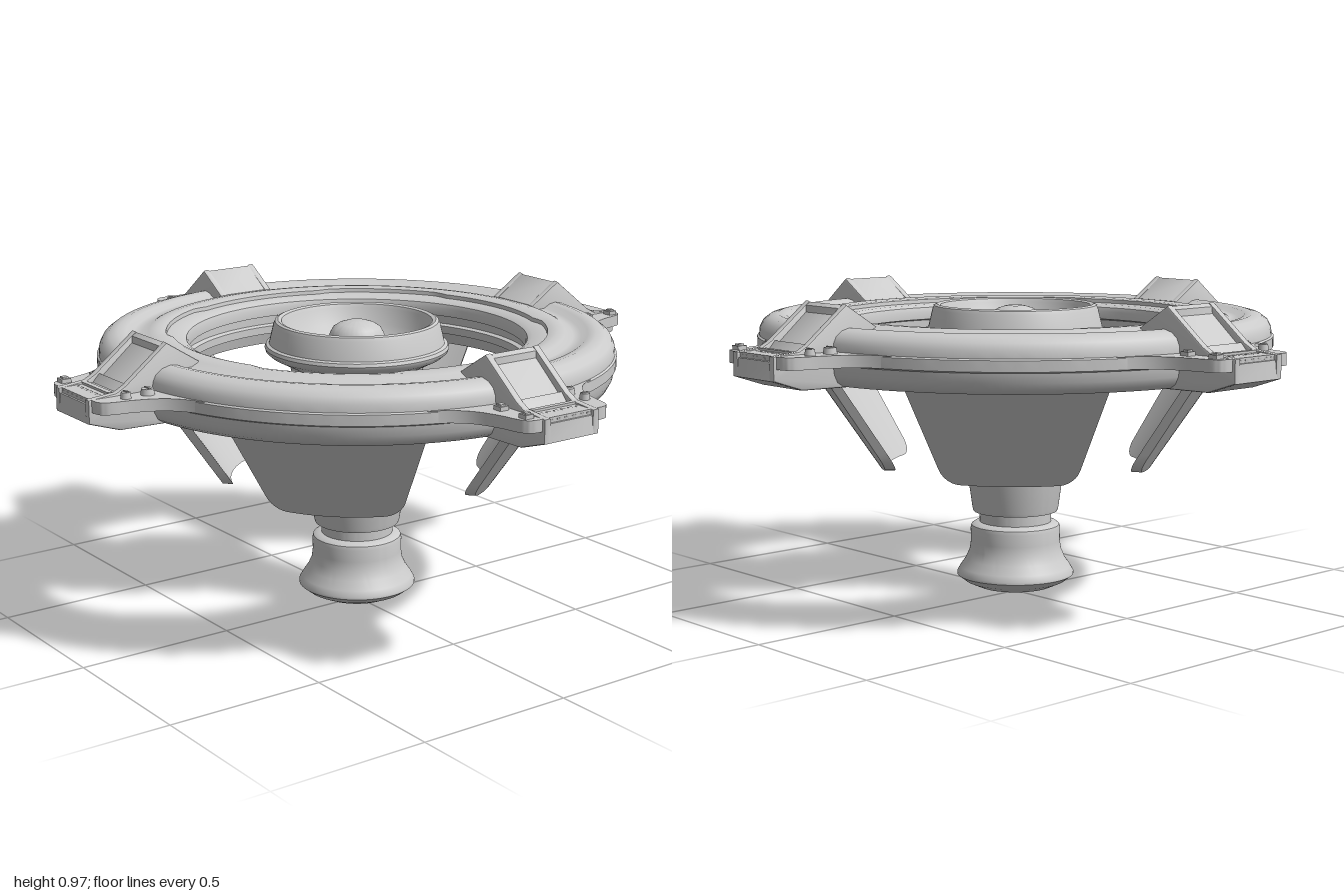
import * as THREE from 'three';
import { toCreasedNormals } from 'three/addons/utils/BufferGeometryUtils.js';

const material = new THREE.MeshStandardMaterial({ color: 0xcccccc });
const rad = THREE.MathUtils.degToRad;

function add(parent, name, geometry) {
  const mesh = new THREE.Mesh(geometry, material);
  mesh.name = name;
  parent.add(mesh);
  return mesh;
}

const lathe = (points, segments = 96) =>
  new THREE.LatheGeometry(points.map(([r, y]) => new THREE.Vector2(r, y)), segments);

// Side profile given as [z, y], extruded to a width along x
function slab(profile, x, width, bevel = 0.006) {
  const shape = new THREE.Shape(profile.map(([z, y]) => new THREE.Vector2(z, y)));
  const g = new THREE.ExtrudeGeometry(shape, {
    depth: width - 2 * bevel, bevelSize: bevel, bevelThickness: bevel, bevelOffset: -bevel, bevelSegments: 2,
  });
  return toCreasedNormals(g.translate(0, 0, -width / 2 + bevel).rotateY(-Math.PI / 2).translate(x, 0, 0), 0.4);
}

// Ring with a shallow inner step whose radius widens on the diagonals
function ringGeometry() {
  const g = lathe([
    [0.56, 0.735], [0.765, 0.735], [0.785, 0.748], [0.796, 0.77], [0.8, 0.798], [0.806, 0.802], [0.806, 0.834],
    [0.8, 0.838], [0.798, 0.86], [0.788, 0.88], [0.768, 0.895], [0.74, 0.902], [0.715, 0.898], [0.695, 0.887],
    [0.67, 0.886], [0.645, 0.898], [0.62, 0.902], [0.585, 0.9], [0.575, 0.897], [0.573, 0.885],
    [0.545, 0.882], [0.53, 0.874], [0.525, 0.86], [0.525, 0.835], [0.545, 0.83], [0.545, 0.805],
    [0.53, 0.8], [0.53, 0.775], [0.55, 0.77], [0.56, 0.735],
  ], 144);
  const p = g.attributes.position;
  for (let i = 0; i < p.count; i++) {
    const x = p.getX(i), z = p.getZ(i), r = Math.hypot(x, z);
    if (p.getY(i) < 0.88 || r < 0.57 || r > 0.59) continue;
    const diagonal = THREE.MathUtils.smoothstep(Math.abs(Math.sin(2 * Math.atan2(z, x))), 0.7, 0.82);
    const k = 1 + 0.03 * diagonal;
    p.setX(i, x * k);
    p.setZ(i, z * k);
  }
  return toCreasedNormals(g, 0.6);
}

// Curved panel: a box bent onto a cone, with rounded lower corners and bevelled sides
function finGeometry() {
  const g = new THREE.BoxGeometry(1, 1, 1, 24, 16, 1);
  const p = g.attributes.position, corner = 0.05;
  for (let i = 0; i < p.count; i++) {
    const v = (p.getY(i) + 0.5) ** 2;
    const outer = p.getZ(i) > 0;
    const r = THREE.MathUtils.lerp(0.43, 0.66, v) - (outer ? 0 : 0.03);
    const drop = Math.max(0, corner - v * 0.38);
    const trim = corner - Math.sqrt(corner * corner - drop * drop) + (outer ? 0.015 : 0);
    const a = p.getX(i) * 2 * (rad(29) - trim / r);
    p.setXYZ(i, r * Math.sin(a), 0.415 + v * 0.34, r * Math.cos(a));
  }
  g.computeVertexNormals();
  return g;
}

// Mounting plate flaring into the ring
function plateGeometry() {
  const s = new THREE.Shape();
  s.moveTo(-0.32, 0.7);
  s.lineTo(0.32, 0.7);
  s.lineTo(0.3, 0.745);
  s.bezierCurveTo(0.2, 0.79, 0.185, 0.84, 0.165, 0.91);
  s.bezierCurveTo(0.155, 0.97, 0.15, 0.99, 0.11, 0.99);
  s.lineTo(-0.11, 0.99);
  s.bezierCurveTo(-0.15, 0.99, -0.155, 0.97, -0.165, 0.91);
  s.bezierCurveTo(-0.185, 0.84, -0.2, 0.79, -0.3, 0.745);
  const g = new THREE.ExtrudeGeometry(s, { depth: 0.036, bevelEnabled: false, curveSegments: 10 });
  return toCreasedNormals(g.rotateX(Math.PI / 2).translate(0, 0.838, 0), 0.5);
}

// One clamp, built facing +z
function createClamp() {
  const clamp = new THREE.Group();
  clamp.name = 'clamp';
  add(clamp, 'mountingPlate', plateGeometry());

  // Wedge body with a sunken window
  const base = [[1, 0.768], [0.9, 0.735], [0.68, 0.73]];
  add(clamp, 'clampBody', slab([
    [0.64, 0.86], [0.64, 0.9], [0.74, 0.966], [0.755, 0.957], [0.757, 0.937], [0.858, 0.853],
    [0.868, 0.862], [0.89, 0.838], [0.995, 0.822], ...base], 0, 0.17, 0.002));
  for (const side of [-1, 1]) {
    add(clamp, 'clampCheek', slab([
      [0.635, 0.86], [0.635, 0.9], [0.743, 0.969], [0.88, 0.862], [0.91, 0.846], [1, 0.838], ...base],
    side * 0.088, 0.024));
  }

  // Grip teeth and the bar behind them
  for (let i = 0; i < 6; i++) {
    const tooth = add(clamp, 'gripTooth', new THREE.BoxGeometry(0.014, 0.016, 0.05));
    tooth.position.set((i - 2.5) * 0.027, 0.828, 0.965);
    tooth.rotation.x = 0.15;
  }
  const bar = add(clamp, 'gripBar', new THREE.BoxGeometry(0.155, 0.014, 0.016));
  bar.position.set(0, 0.838, 0.917);

  // Slotted screws on one side, square studs on the other
  for (const [z, r] of [[0.83, 0.021], [0.9, 0.016]]) {
    add(clamp, 'screw', new THREE.CylinderGeometry(r * 0.85, r, 0.02, 20)).position.set(0.135, 0.846, z);
    add(clamp, 'screwRidge', new THREE.BoxGeometry(r * 1.5, 0.004, 0.005)).position.set(0.135, 0.857, z);
  }
  for (const z of [0.85, 0.955]) {
    add(clamp, 'squareStud', new THREE.BoxGeometry(0.03, 0.014, 0.03)).position.set(-0.128, 0.843, z);
    add(clamp, 'squareStudCap', new THREE.BoxGeometry(0.018, 0.006, 0.018)).position.set(-0.128, 0.852, z);
  }
  return clamp;
}

export function createModel() {
  const model = new THREE.Group();
  model.name = 'ringedPost';

  add(model, 'ring', ringGeometry());

  // Central post: foot, neck, tapered shaft, cup and inner knob
  add(model, 'post', toCreasedNormals(lathe([
    [0, 0], [0.06, 0.008], [0.12, 0.022], [0.16, 0.04], [0.178, 0.054], [0.186, 0.06], [0.186, 0.068],
    [0.176, 0.085], [0.158, 0.112], [0.146, 0.14], [0.142, 0.17], [0.143, 0.208], [0.14, 0.22], [0.13, 0.227],
    [0.114, 0.23], [0.114, 0.265], [0.134, 0.265], [0.137, 0.275], [0.157, 0.42], [0.2, 0.74], [0.212, 0.785],
    [0.27, 0.815], [0.285, 0.828], [0.288, 0.838], [0.284, 0.848], [0.274, 0.852], [0.26, 0.91], [0.255, 0.921],
    [0.246, 0.925], [0.235, 0.921], [0.23, 0.91], [0.215, 0.86], [0.18, 0.815], [0.15, 0.8], [0.125, 0.8],
    [0.12, 0.815], [0.105, 0.85], [0.088, 0.868], [0.084, 0.88], [0.074, 0.898], [0.055, 0.91], [0.03, 0.918], [0, 0.92],
  ]), 0.6));

  const fin = finGeometry();
  for (let i = 0; i < 4; i++) {
    add(model, 'fin', fin).rotation.y = rad(45 + 90 * i);
    const clamp = createClamp();
    clamp.rotation.y = rad(90 * i);
    model.add(clamp);
  }
  return model;
}
